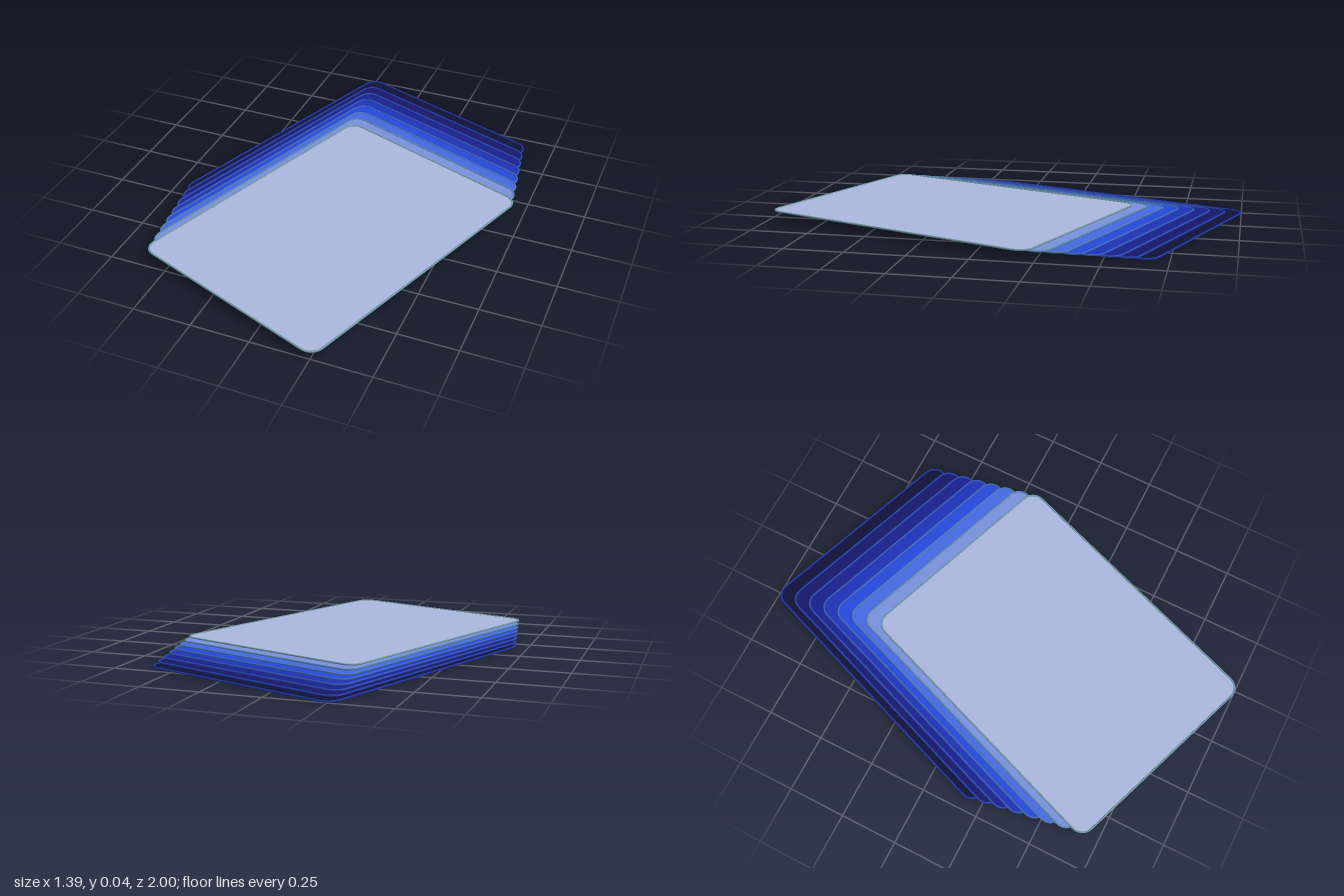
import * as THREE from 'three';

const WIDTH = 0.957, LENGTH = 1.3, CORNER = 0.056; // sheet outline
const RIM = 0.004;                                 // rim radius, also the layer spacing
const TILT = -THREE.MathUtils.degToRad(20);

// Colours from the bottom sheet to the top one
const SHEETS = [0x0f1238, 0x15176a, 0x17208c, 0x1c32b4, 0x2448d8, 0x4468e0, 0x7890dc, 0xaab6dc];
const RIMS = [0x2034a8, 0x2440b0, 0x2c4cb4, 0x3658b8, 0x4068b8, 0x4c78b4, 0x5c88ac, 0x7098a4];

function roundedRectangle(w, l, r) {
  const x = w / 2 - r, y = l / 2 - r, q = Math.PI / 2;
  const shape = new THREE.Shape();
  shape.absarc(x, y, r, 0, q);
  shape.absarc(-x, y, r, q, 2 * q);
  shape.absarc(-x, -y, r, 2 * q, 3 * q);
  shape.absarc(x, -y, r, 3 * q, 4 * q);
  shape.closePath();
  return shape;
}

// A flat shape's outline laid on the ground plane
class GroundOutline extends THREE.Curve {
  constructor(shape) {
    super();
    this.shape = shape;
  }
  getPoint(t, target = new THREE.Vector3()) {
    const p = this.shape.getPoint(t);
    return target.set(p.x, 0, -p.y);
  }
}

export function createModel() {
  const model = new THREE.Group();
  model.name = 'sheetStack';

  const outline = roundedRectangle(WIDTH, LENGTH, CORNER);
  const sheetGeometry = new THREE.ExtrudeGeometry(outline, { depth: 0.003, bevelEnabled: false, curveSegments: 8 });
  sheetGeometry.rotateX(-Math.PI / 2).translate(0, -0.0028, 0);
  const rimGeometry = new THREE.TubeGeometry(new GroundOutline(outline), 320, RIM, 8, true);

  // Fanned layers, each shifted forward and slightly to the side
  SHEETS.forEach((color, i) => {
    const layer = new THREE.Group();
    layer.name = `layer${i + 1}`;
    const sheet = new THREE.Mesh(sheetGeometry, new THREE.MeshStandardMaterial({ color }));
    sheet.name = 'sheet';
    const rim = new THREE.Mesh(rimGeometry, new THREE.MeshStandardMaterial({ color: RIMS[i] }));
    rim.name = 'rim';
    layer.add(sheet, rim);

    const k = i - (SHEETS.length - 1) / 2;
    layer.position.set(k * 0.0107, RIM * (i + 1), k * 0.068);
    layer.rotation.y = TILT;
    model.add(layer);
  });

  return model;
}
